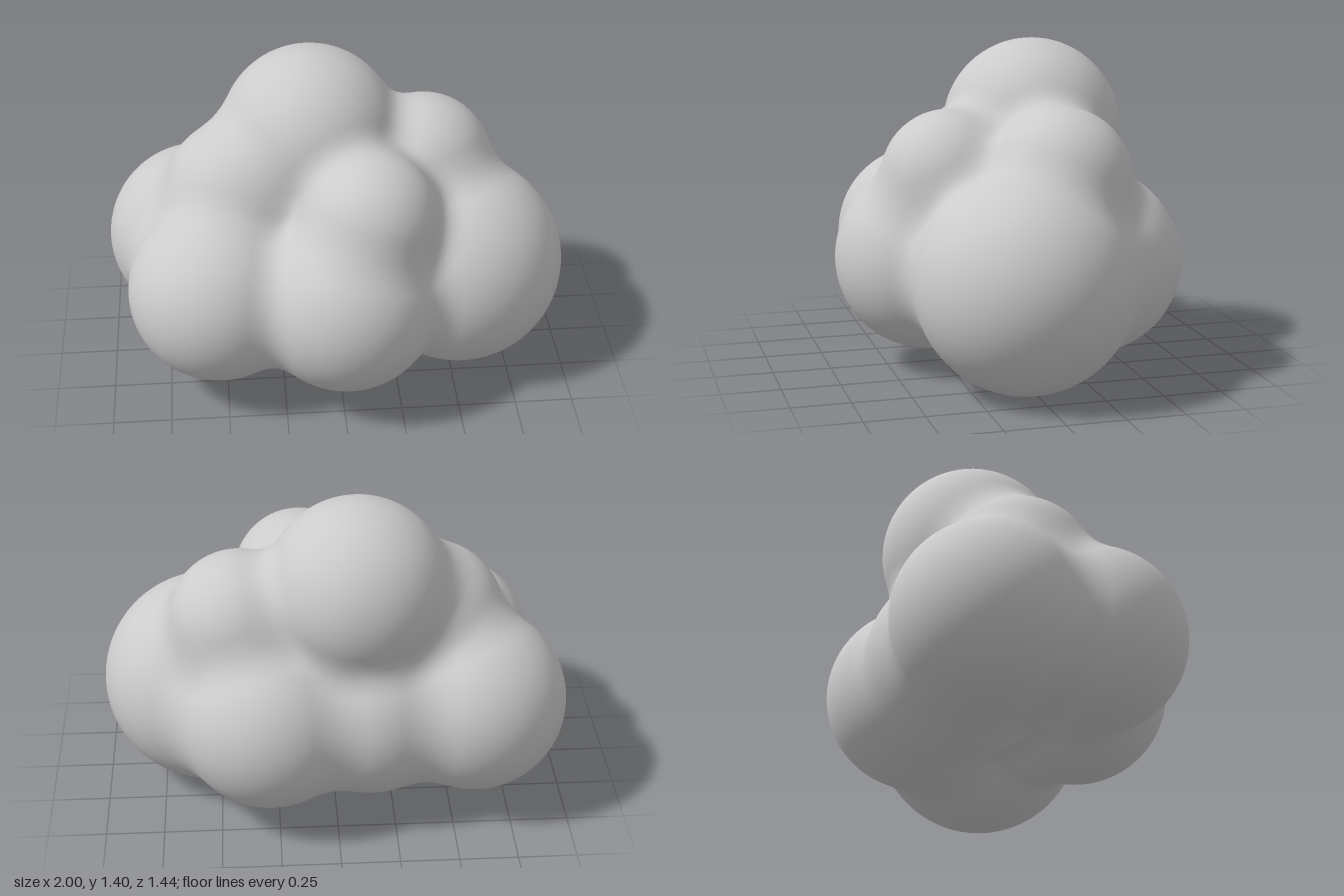
import * as THREE from 'three';

// Puffs of the cloud: x, y, z, radius
const PUFFS = [
  [0.54, 0.46, 0.03, 0.46],    // large side puff
  [0.02, 0.48, 0.32, 0.40],    // front
  [-0.52, 0.48, 0.22, 0.39],   // front side
  [-0.60, 0.48, -0.24, 0.40],  // back side
  [-0.15, 0.48, -0.24, 0.40],  // back middle
  [0.28, 0.48, -0.32, 0.40],   // back
  [-0.10, 1.01, -0.18, 0.39],  // crown
  [0.40, 0.86, -0.16, 0.30],   // upper puffs
  [0.13, 0.84, 0.25, 0.29],
  [-0.42, 0.80, -0.06, 0.32],
];
const BLEND = 0.11;

// Distance to the softly blended puffs
function field(x, y, z) {
  let d = 10;
  for (const [px, py, pz, r] of PUFFS) {
    const s = Math.hypot(x - px, y - py, z - pz) - r;
    const h = Math.max(BLEND - Math.abs(d - s), 0) / BLEND;
    d = Math.min(d, s) - h * h * BLEND / 4;
  }
  return d;
}

function gradient(p) {
  const e = 0.002;
  return new THREE.Vector3(
    field(p.x + e, p.y, p.z) - field(p.x - e, p.y, p.z),
    field(p.x, p.y + e, p.z) - field(p.x, p.y - e, p.z),
    field(p.x, p.y, p.z + e) - field(p.x, p.y, p.z - e)
  ).normalize();
}

// Skin the field: one vertex per crossed cell, one quad per crossed grid edge
function skinGeometry() {
  const step = 0.03, min = [-1.11, -0.12, -0.84], n = [75, 54, 57];
  const stride = [1, n[0], n[0] * n[1]];
  const values = new Float32Array(n[0] * n[1] * n[2]);
  const eachCell = (from, visit) => {
    for (let k = from; k < n[2] - 1; k++)
      for (let j = from; j < n[1] - 1; j++)
        for (let i = from; i < n[0] - 1; i++)
          visit(i, j, k, i + j * stride[1] + k * stride[2]);
  };
  for (let k = 0, at = 0; k < n[2]; k++)
    for (let j = 0; j < n[1]; j++)
      for (let i = 0; i < n[0]; i++)
        values[at++] = field(min[0] + i * step, min[1] + j * step, min[2] + k * step);

  const positions = [], normals = [], indices = [], vertexOf = new Map();
  eachCell(0, (i, j, k, at) => {
    let inside = 0;
    for (let c = 0; c < 8; c++) {
      const corner = at + (c & 1) + ((c >> 1) & 1) * stride[1] + (c >> 2) * stride[2];
      if (values[corner] < 0) inside++;
    }
    if (inside === 0 || inside === 8) return;
    // Slide the cell centre onto the surface
    const p = new THREE.Vector3(
      min[0] + (i + 0.5) * step, min[1] + (j + 0.5) * step, min[2] + (k + 0.5) * step);
    for (let pass = 0; pass < 4; pass++) p.addScaledVector(gradient(p), -field(p.x, p.y, p.z));
    vertexOf.set(at, positions.length / 3);
    positions.push(p.x, p.y, p.z);
    normals.push(...gradient(p).toArray());
  });

  eachCell(1, (i, j, k, at) => {
    for (let a = 0; a < 3; a++) {
      const here = values[at] < 0, there = values[at + stride[a]] < 0;
      if (here === there) continue;
      const b = stride[(a + 1) % 3], c = stride[(a + 2) % 3];
      const q = [at - b - c, at - c, at, at - b].map((cell) => vertexOf.get(cell));
      if (!here) q.reverse();
      indices.push(q[0], q[1], q[2], q[0], q[2], q[3]);
    }
  });

  const geometry = new THREE.BufferGeometry();
  geometry.setAttribute('position', new THREE.Float32BufferAttribute(positions, 3));
  geometry.setAttribute('normal', new THREE.Float32BufferAttribute(normals, 3));
  geometry.setIndex(indices);
  return geometry;
}

export function createModel() {
  const model = new THREE.Group();
  model.name = 'cloud';
  const puffs = new THREE.Mesh(skinGeometry(), new THREE.MeshStandardMaterial({ color: 0xcccccc }));
  puffs.name = 'cloudPuffs';
  model.add(puffs);
  return model;
}
